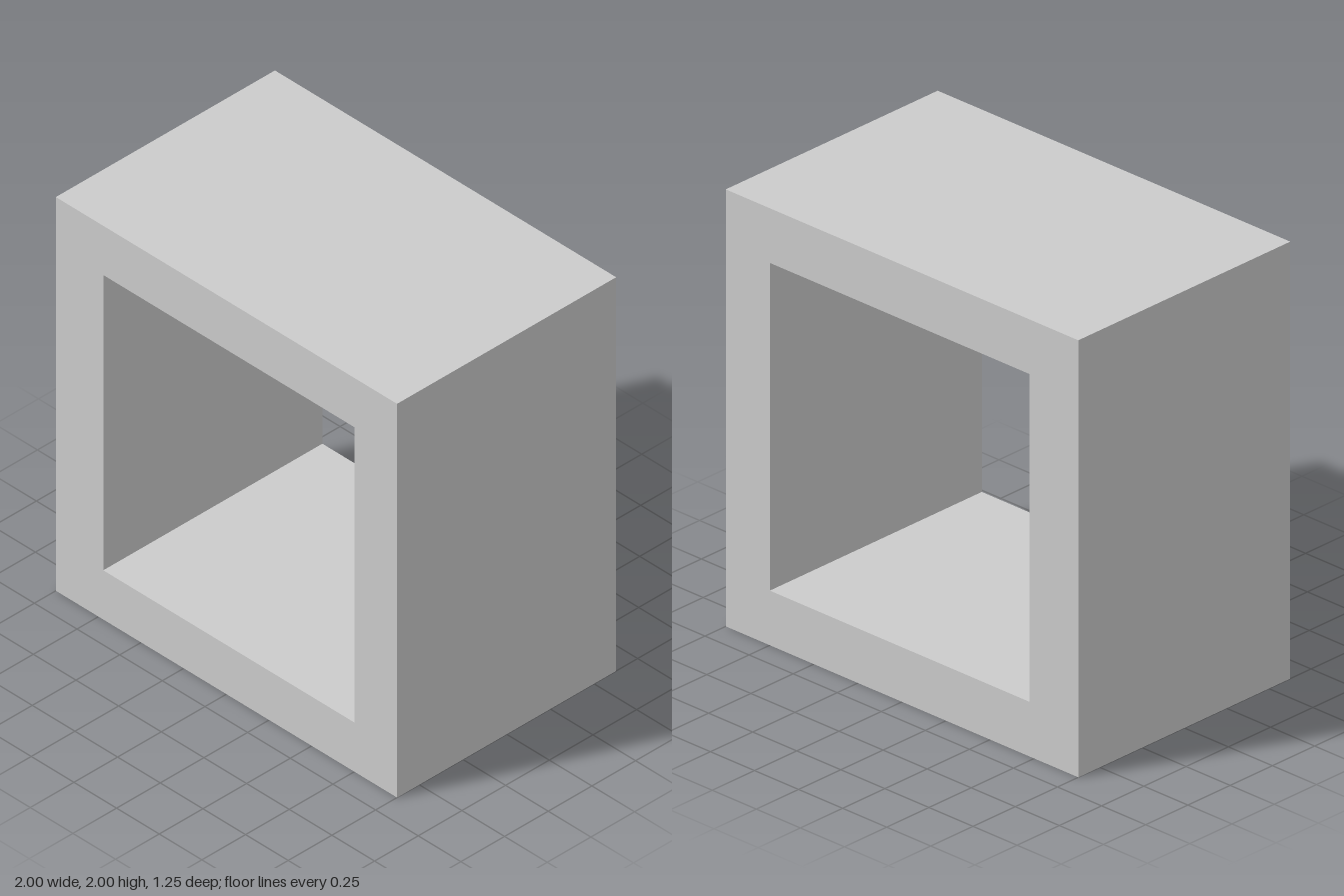
import * as THREE from 'three';

const DEPTH = 1.254;

// Closed rectangular outline from opposite corners
function rectangle(PathType, x0, y0, x1, y1) {
  return new PathType([
    new THREE.Vector2(x0, y0),
    new THREE.Vector2(x1, y0),
    new THREE.Vector2(x1, y1),
    new THREE.Vector2(x0, y1),
  ]);
}

export function createModel() {
  const group = new THREE.Group();
  group.name = 'openBox';

  // Square frame with a slightly off-centre opening right through it
  const outline = rectangle(THREE.Shape, -1, 0, 1, 2);
  outline.holes.push(rectangle(THREE.Path, -0.722, 0.25, 0.75, 1.75));

  const geometry = new THREE.ExtrudeGeometry(outline, { depth: DEPTH, bevelEnabled: false });
  geometry.translate(0, 0, -DEPTH / 2);

  const frame = new THREE.Mesh(
    geometry,
    new THREE.MeshStandardMaterial({ color: 0xcccccc, flatShading: true })
  );
  frame.name = 'frame';
  group.add(frame);
  return group;
}
